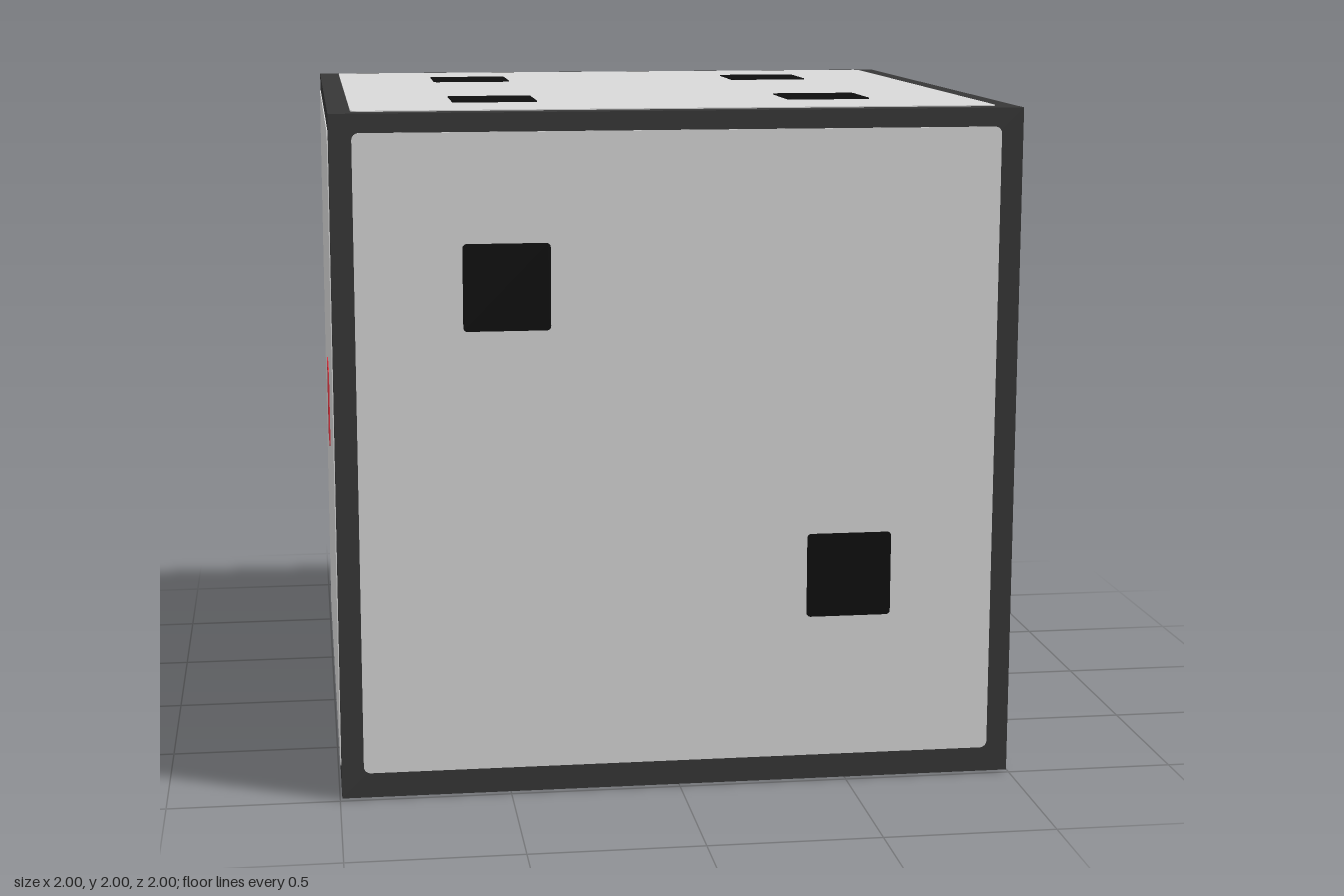
import * as THREE from 'three';

const mat = (name, color) => {
  const m = new THREE.MeshStandardMaterial({ color });
  m.name = name;
  return m;
};

// Thin square plate with slightly rounded corners, its back on z = 0
function plate(size, radius, depth) {
  const h = size / 2, k = h - radius;
  const s = new THREE.Shape();
  s.absarc(k, k, radius, 0, Math.PI / 2);
  s.absarc(-k, k, radius, Math.PI / 2, Math.PI);
  s.absarc(-k, -k, radius, Math.PI, Math.PI * 1.5);
  s.absarc(k, -k, radius, Math.PI * 1.5, Math.PI * 2);
  return new THREE.ExtrudeGeometry(s, { depth, bevelEnabled: false, curveSegments: 4 });
}

export function createModel() {
  const edgeGrey = mat('edge grey', 0x373737);
  const panelGrey = mat('panel grey', 0xd8d8d8);
  const pipBlack = mat('pip black', 0x0e0e0e);
  const pipRed = mat('pip red', 0xdc3340);

  const model = new THREE.Group();
  model.name = 'die';

  // Dark cube that shows as a border around every panel
  const half = 0.994;
  const body = new THREE.Mesh(new THREE.BoxGeometry(2 * half, 2 * half, 2 * half), edgeGrey);
  body.name = 'body';
  body.position.y = 1;
  model.add(body);

  const panelGeo = plate(1.86, 0.02, 0.003);
  const pipGeo = plate(0.25, 0.012, 0.003);
  const q = Math.PI / 2;

  // Each face: rotation, panel height offset and pip centres seen from outside
  const faces = [
    { name: 'front', rot: [0, 0], lift: 0.01, pips: [[-0.5, 0.5], [0.5, -0.37]] },
    { name: 'right', rot: [0, q], lift: 0.01,
      pips: [-0.5, 0, 0.5].flatMap(y => [[-0.5, y], [0.5, y]]) },
    { name: 'back', rot: [0, 2 * q], lift: 0.01,
      pips: [[-0.62, 0.5], [0.62, 0.5], [0, 0], [-0.62, -0.5], [0.62, -0.5]] },
    { name: 'left', rot: [0, -q], lift: 0.01, pips: [[0, 0]], red: true },
    { name: 'top', rot: [-q, 0], lift: 0,
      pips: [[-0.5, 0.5], [0.5, 0.5], [-0.5, -0.5], [0.5, -0.5]] },
    { name: 'bottom', rot: [q, 0], lift: 0, pips: [[0.62, 0.62], [0, 0], [-0.62, -0.5]] },
  ];

  for (const f of faces) {
    const face = new THREE.Group();
    face.name = f.name + 'Face';
    face.position.y = 1;
    face.rotation.set(f.rot[0], f.rot[1], 0);

    const panel = new THREE.Mesh(panelGeo, panelGrey);
    panel.name = f.name + 'Panel';
    panel.position.set(0, f.lift, half);
    face.add(panel);

    f.pips.forEach(([x, y], i) => {
      const pip = new THREE.Mesh(pipGeo, f.red ? pipRed : pipBlack);
      pip.name = f.name + 'Pip' + (i + 1);
      pip.position.set(x, y, half + 0.003);
      face.add(pip);
    });
    model.add(face);
  }
  return model;
}
